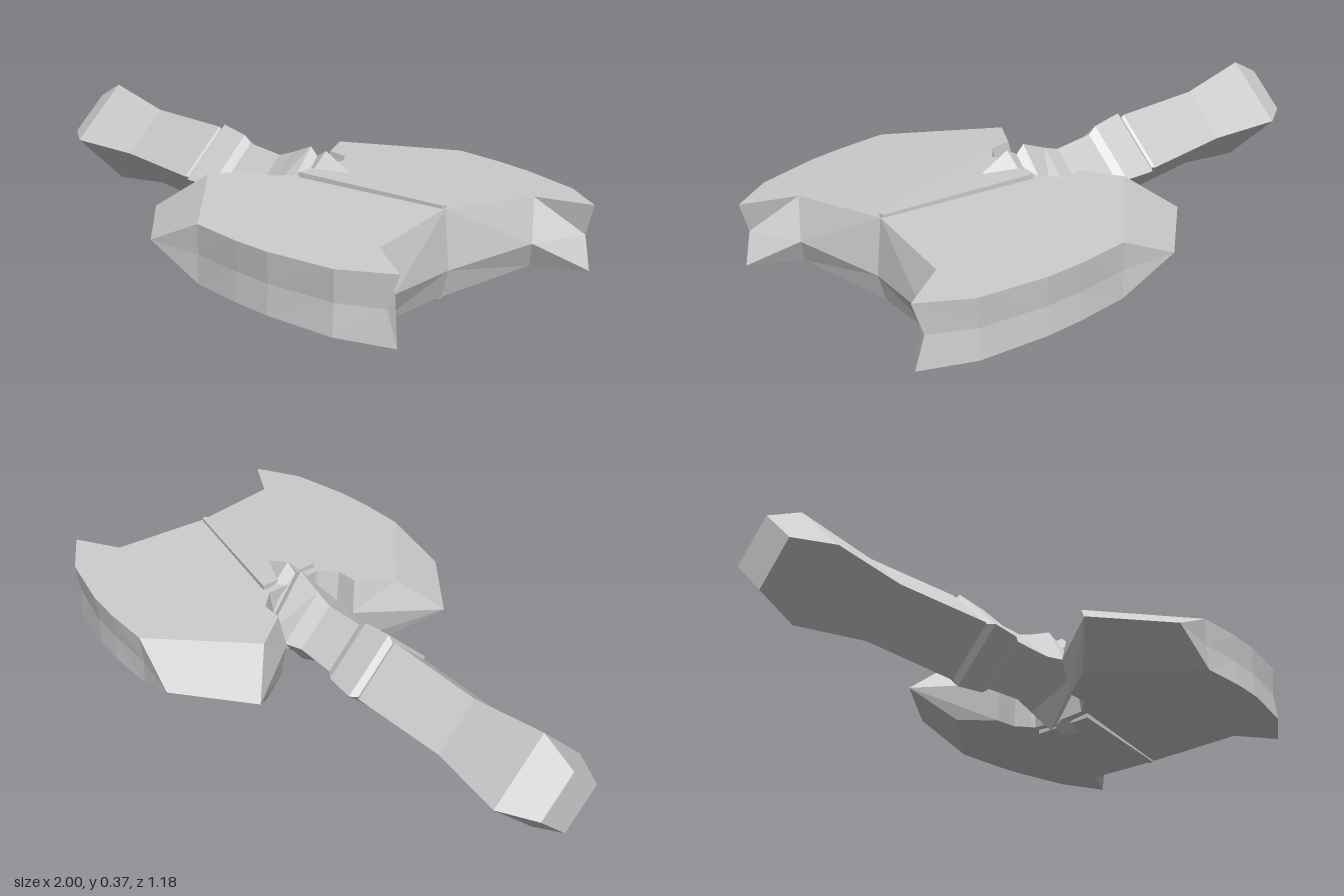
import * as THREE from 'three';

const steel = new THREE.MeshStandardMaterial({ color: 0xcccccc, flatShading: true });
steel.name = 'pale steel';
const MID = 0.19; // height of the handle axis

// Four-sided handle with pommel, collar and the spiked socket
function makeHandle() {
  const profile = [
    [-1, 0], [-1, 0.12], [-0.88, 0.185], [-0.61, 0.14], [-0.26, 0.15], [-0.25, 0.143],
    [-0.23, 0.164], [-0.12, 0.15], [-0.09, 0.128], [0.06, 0.122], [0.12, 0.145],
    [0.21, 0.185], [0.24, 0.16], [0.28, 0.186], [0.385, 0.14], [0.385, 0],
  ].map(([x, r]) => new THREE.Vector2(r, x));
  const geo = new THREE.LatheGeometry(profile, 4).rotateZ(-Math.PI / 2);
  const p = geo.attributes.position;
  // the socket is narrower than it is tall
  for (let i = 0; i < p.count; i++) {
    const x = p.getX(i);
    if (x > 0.2 && x < 0.25) p.setZ(i, p.getZ(i) * 0.75);
  }
  geo.translate(0, MID, 0);
  return new THREE.Mesh(geo, steel);
}

// Half of the head: outline rings for the upper face, the rim ridge and the lower face
function makeBlade(side) {
  const top = (z) => 0.318 - 0.06 * z;
  const bottom = (z) => 0.045 + 0.1 * z;
  // face x, face z, ridge x, ridge y, ridge z
  const outline = [
    [0.24, 0, 0.24, MID, 0],
    [0.778, 0, 0.802, 0.135, 0],
    [0.84, 0.325, 0.87, 0.165, 0.292],
    [0.995, 0.41, 0.965, MID, 0.42],
    [0.85, 0.503, 0.845, MID, 0.495],
    [0.64, 0.55, 0.64, MID, 0.543],
    [0.52, 0.56, 0.52, MID, 0.553],
    [0.35, 0.56, 0.345, MID, 0.556],
    [0.16, 0.59, 0.16, MID, 0.59],
    [0.045, 0.285, -0.08, MID, 0.40],
    [0.125, 0.165, 0.11, MID, 0.145],
    [0.2, 0.16, 0.19, MID, 0.14],
    [0.25, 0.105, 0.24, MID, 0.09],
  ];
  const n = outline.length, TIP = 8;
  const upper = [], ridge = [], lower = [];
  outline.forEach(([x, z, rx, ry, rz], i) => {
    upper.push([x, i === TIP ? MID : top(z), z]);
    ridge.push([rx, ry, rz]);
    lower.push([x, i === TIP ? MID : bottom(z), z]);
  });
  const pos = [];
  const tri = (a, b, c) => {
    for (const v of side > 0 ? [a, b, c] : [a, c, b]) pos.push(v[0], v[1], v[2] * side);
  };
  const quad = (a, b, c, d) => { tri(a, b, c); tri(a, c, d); };
  // cheeks
  const flat = outline.map(([x, z]) => new THREE.Vector2(x, z));
  for (const [a, b, c] of THREE.ShapeUtils.triangulateShape(flat, [])) {
    const turn = flat[b].clone().sub(flat[a]).cross(flat[c].clone().sub(flat[a]));
    const [q, r] = turn > 0 ? [c, b] : [b, c];
    tri(upper[a], upper[q], upper[r]);
    tri(lower[a], lower[r], lower[q]);
  }
  // rim, left open along the centre line
  for (let i = 1; i < n; i++) {
    const j = (i + 1) % n;
    quad(upper[i], upper[j], ridge[j], ridge[i]);
    quad(ridge[i], ridge[j], lower[j], lower[i]);
  }
  const geo = new THREE.BufferGeometry();
  geo.setAttribute('position', new THREE.Float32BufferAttribute(pos, 3));
  geo.computeVertexNormals();
  return new THREE.Mesh(geo, steel);
}

// Tapered wedge running through the head on both cheeks
function makeWedge() {
  const shape = new THREE.Shape([
    new THREE.Vector2(0.275, -0.11), new THREE.Vector2(0.775, -0.008),
    new THREE.Vector2(0.775, 0.008), new THREE.Vector2(0.275, 0.11),
  ]);
  const geo = new THREE.ExtrudeGeometry(shape, { depth: 0.288, bevelEnabled: false });
  geo.rotateX(-Math.PI / 2).translate(0, 0.04, 0);
  return new THREE.Mesh(geo, steel);
}

export function createModel() {
  const axe = new THREE.Group();
  axe.name = 'doubleAxe';
  const add = (name, mesh) => { mesh.name = name; axe.add(mesh); };
  add('handle', makeHandle());
  add('frontBlade', makeBlade(1));
  add('backBlade', makeBlade(-1));
  add('headWedge', makeWedge());
  return axe;
}
